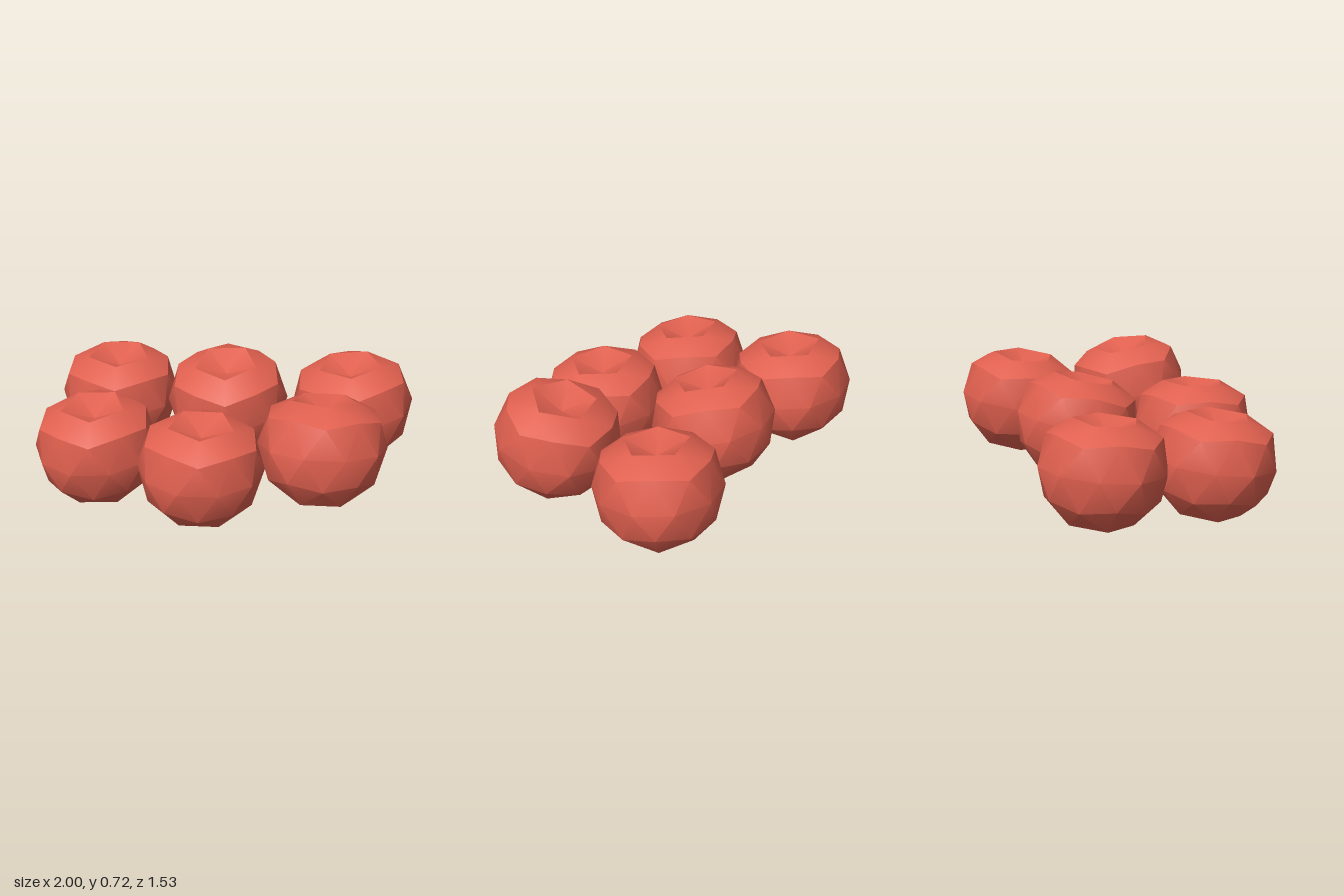
import * as THREE from 'three';
import { toCreasedNormals } from 'three/addons/utils/BufferGeometryUtils.js';

const R = 0.334;

// Faceted fruit: subdivided icosahedron standing on a corner,
// with a flattened, dimpled crown and a pressed-in base
function fruitGeometry() {
  const geo = new THREE.IcosahedronGeometry(R, 1);
  geo.rotateZ(-Math.atan2(2, 1 + Math.sqrt(5)));
  const pos = geo.attributes.position;
  for (let i = 0; i < pos.count; i++) {
    const y = pos.getY(i) / R;
    if (y > 0.95) pos.setY(i, 0.48 * R);        // dimple centre
    else if (y > 0.7) pos.setY(i, 0.71 * R);    // dimple rim
    else if (y < -0.95) pos.setY(i, -0.79 * R); // base centre
  }
  geo.deleteAttribute('uv');
  geo.deleteAttribute('normal');
  return toCreasedNormals(geo, 0.6);
}

export function createModel() {
  const group = new THREE.Group();
  group.name = 'fruitCluster';
  const geo = fruitGeometry();
  const mat = new THREE.MeshStandardMaterial({ color: 0xe0604f });

  // Centre x, y, z, then the sideways lean of the upright axis in x and z
  const fruits = [
    [-0.68, 0.35, -0.297, 0.02, 0.09],
    [-0.008, 0.416, -0.262, 0.025, 0.215],
    [0.66, 0.417, -0.441, -0.055, 0.112],
    [-0.543, 0.301, 0.329, 0, 0.12],
    [0.094, 0.326, 0.425, 0.04, 0.06],
    [0.682, 0.449, 0.219, -0.034, -0.18],
  ];
  const up = new THREE.Vector3(0, 1, 0);
  fruits.forEach(([x, y, z, lx, lz], i) => {
    const mesh = new THREE.Mesh(geo, mat);
    mesh.name = `fruit${i + 1}`;
    mesh.position.set(x, y, z);
    const axis = new THREE.Vector3(lx, Math.sqrt(1 - lx * lx - lz * lz), lz);
    mesh.quaternion.setFromUnitVectors(up, axis);
    group.add(mesh);
  });
  return group;
}
